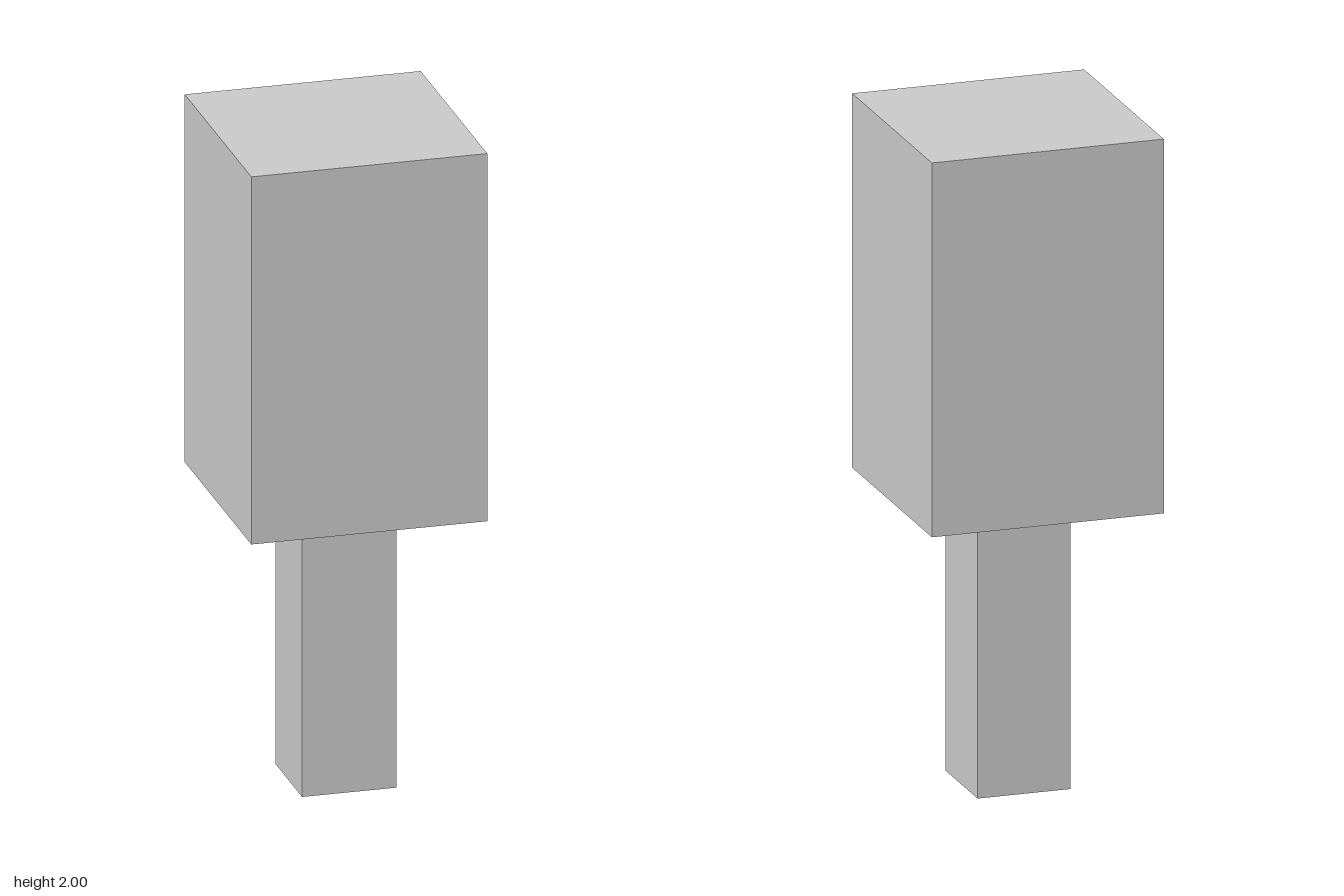
import * as THREE from 'three';

const material = new THREE.MeshStandardMaterial({ color: 0xcccccc, flatShading: true });

// Square block standing between two heights
function block(name, width, bottom, top) {
  const mesh = new THREE.Mesh(new THREE.BoxGeometry(width, top - bottom, width), material);
  mesh.name = name;
  mesh.position.y = (bottom + top) / 2;
  return mesh;
}

export function createModel() {
  const group = new THREE.Group();
  group.name = 'blockTree';
  group.add(
    block('trunk', 0.282, 0, 0.872),
    block('crown', 0.705, 0.872, 2),
  );
  return group;
}
